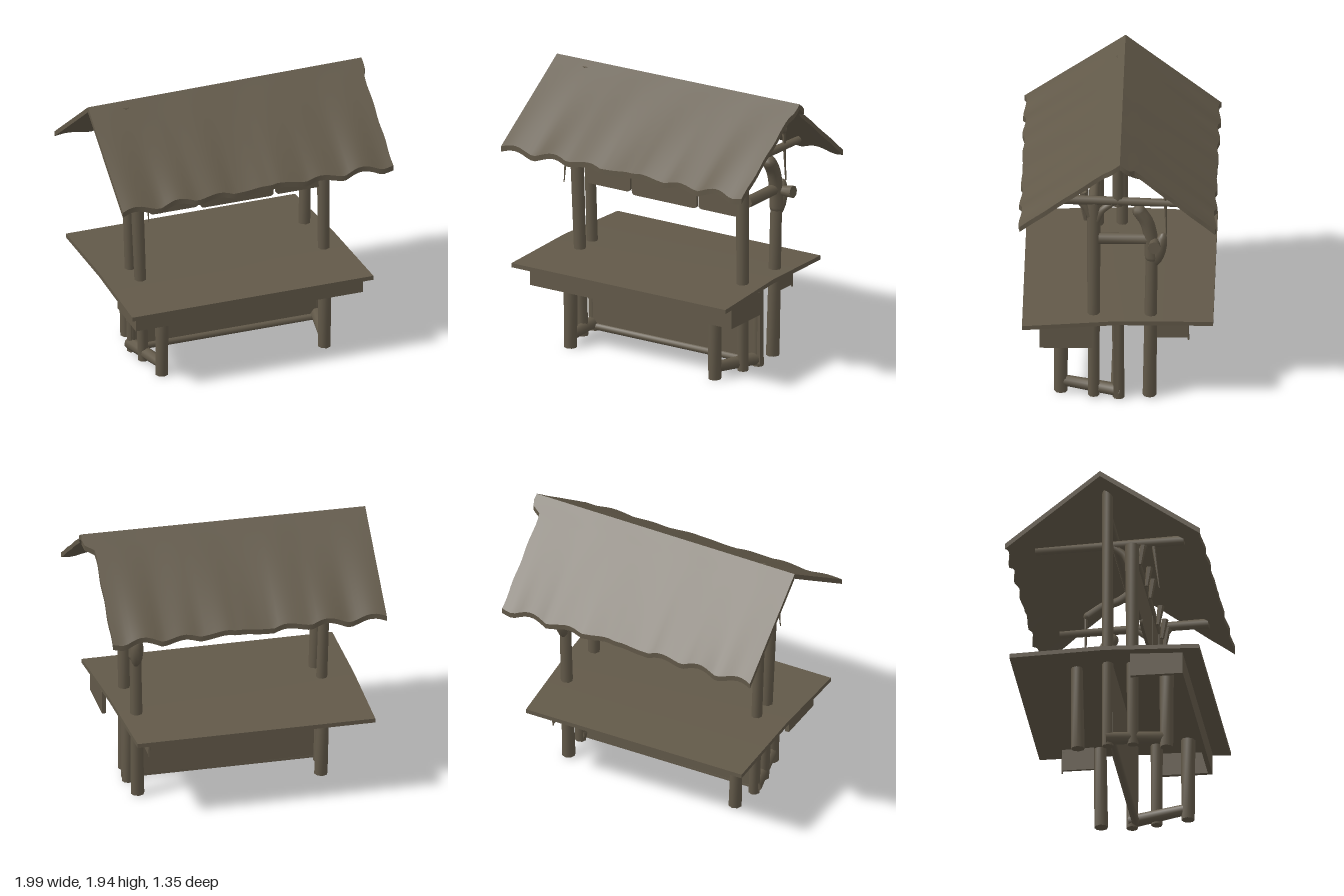
import * as THREE from 'three';
import { toCreasedNormals } from 'three/addons/utils/BufferGeometryUtils.js';

export function createModel() {
  const group = new THREE.Group();
  const wood = new THREE.MeshStandardMaterial({ color: 0x625949 });
  wood.name = 'weathered wood';
  const V = (x, y, z) => new THREE.Vector3(x, y, z);

  const add = (name, geometry) => {
    const mesh = new THREE.Mesh(geometry, wood);
    mesh.name = name;
    group.add(mesh);
    return mesh;
  };
  const box = (name, x0, x1, y0, y1, z0, z1) => {
    const mesh = add(name, new THREE.BoxGeometry(x1 - x0, y1 - y0, z1 - z0));
    mesh.position.set((x0 + x1) / 2, (y0 + y1) / 2, (z0 + z1) / 2);
  };
  // Straight log between two points, with its own end radii
  const log = (name, a, b, r0, r1 = r0, sides = 8) => {
    const dir = b.clone().sub(a);
    const mesh = add(name, toCreasedNormals(
      new THREE.CylinderGeometry(r1, r0, dir.length(), sides), 0.9));
    mesh.position.copy(a).add(b).multiplyScalar(0.5);
    mesh.quaternion.setFromUnitVectors(V(0, 1, 0), dir.normalize());
  };
  // Bent limb through points, closed by a ball at each end
  const limb = (name, points, r) => {
    add(name, new THREE.TubeGeometry(new THREE.CatmullRomCurve3(points), 16, r, 8));
    for (const p of [points[0], points[points.length - 1]]) {
      add(name + 'End', new THREE.SphereGeometry(r, 8, 6)).position.copy(p);
    }
  };

  // Roof slopes: a slab from ridge to a scalloped eave, notched beside the ridge
  const slope = (name, eaveY, eaveZ, rightEdge) => {
    const g = new THREE.BoxGeometry(1, 1, 1, 56, 1, 20);
    const p = g.attributes.position;
    const s = Math.sign(eaveZ);
    for (let i = 0; i < p.count; i++) {
      const u = p.getX(i) + 0.5;
      const v = s * p.getZ(i) + 0.5;
      const top = p.getY(i) + 0.5;
      const right = rightEdge + (0.99 - rightEdge) * (1 - THREE.MathUtils.smoothstep(v, 0.08, 0.16));
      const x = -0.995 + u * (right + 0.995) + (u > 0.98 ? Math.sin(v * 19) * 0.003 : 0);
      const scallop = (Math.abs(Math.sin(u * 23)) + 0.5 * Math.sin(u * 37)) * 0.012 * v * v;
      const ripple = Math.sin(u * 21 + v * 2) * 0.005 * v;
      const ridgeY = 1.94 + 0.018 * u;
      const y = ridgeY + (eaveY - ridgeY) * v + scallop * 1.4 + ripple - (1 - top) * 0.038;
      p.setXYZ(i, x, y, -0.02 + (eaveZ + 0.02) * v - s * scallop);
    }
    add(name, toCreasedNormals(g, 0.7));
  };
  slope('frontRoof', 1.465, 0.668, 0.97);
  slope('backRoof', 1.425, -0.672, 0.915);

  // Table top: thin crowned board, cut in at its rear left corner
  const top = new THREE.BoxGeometry(1.75, 0.03, 1.3, 2, 1, 4);
  const tp = top.attributes.position;
  for (let i = 0; i < tp.count; i++) {
    const z = tp.getZ(i);
    if (tp.getX(i) > 0.8) tp.setX(i, 0.875 - 0.09 * (0.65 - z) / 1.3);
    tp.setY(i, tp.getY(i) - 0.022 * Math.abs(z) / 0.65);
  }
  add('tableTop', toCreasedNormals(top, 0.6)).position.set(-0.045, 0.645, 0);

  // Boards under the table
  box('frontApron', -0.85, 0.8, 0.46, 0.625, 0.5, 0.53);
  box('leftApron', 0.77, 0.8, 0.46, 0.625, 0.17, 0.5);
  box('rightApron', -0.85, -0.82, 0.46, 0.625, 0.17, 0.5);
  box('rearBracket', 0.61, 0.63, 0.46, 0.62, -0.48, -0.26);
  log('bracketPeg', V(0.62, 0.6, -0.47), V(0.62, 0.44, -0.48), 0.012, 0.006, 6);
  box('counterPanel', -0.7, 0.7, 0.04, 0.63, 0, 0.03);
  log('panelSill', V(-0.66, 0.055, 0.025), V(0.66, 0.055, 0.025), 0.026);

  // Right side uprights: the ridge post runs full height, the rear leg stops at the table
  log('frontPost', V(-0.66, 0.03, 0.165), V(-0.715, 1.5, 0.165), 0.038, 0.048);
  log('ridgePost', V(-0.675, 0.02, -0.005), V(-0.735, 1.91, 0), 0.04, 0.037);
  log('rearLeg', V(-0.64, 0.03, -0.215), V(-0.66, 0.64, -0.22), 0.047, 0.04);

  // Left side uprights: a branching rear post, and a king post above the tie
  log('frontPost', V(0.65, 0.03, 0.165), V(0.645, 1.5, 0.165), 0.038, 0.048);
  log('middleLeg', V(0.66, 0.02, -0.005), V(0.66, 0.64, 0), 0.04);
  log('kingPost', V(0.65, 1.48, 0), V(0.65, 1.91, 0), 0.037);
  log('rearPost', V(0.64, 0.03, -0.215), V(0.66, 1.14, -0.23), 0.047, 0.04);
  limb('rearFork', [V(0.66, 1.1, -0.23), V(0.66, 1.23, -0.225), V(0.66, 1.36, -0.195),
    V(0.66, 1.44, -0.145)], 0.048);
  log('sideTie', V(0.66, 1.23, 0.13), V(0.66, 1.23, -0.22), 0.04);

  for (const [x, legX] of [[-0.69, -0.61], [0.66, 0.57]]) {
    log('frontLeg', V(legX, 0.02, 0.39), V(legX, 0.63, 0.39), 0.045, 0.05);
    log('footRail', V(legX, 0.1, 0.38), V(x, 0.07, -0.02), 0.038, 0.045);
    log('gableTie', V(x, 1.53, 0.52), V(x, 1.5, -0.5), 0.036, 0.026);
    limb('frontBrace', [V(x, 1.36, 0.15), V(x, 1.44, 0.11), V(x, 1.5, 0.04)], 0.025);
    limb('frontFork', [V(x, 1.38, 0.18), V(x, 1.46, 0.22), V(x, 1.52, 0.27)], 0.022);
  }

  // Long rails under the roof
  log('frontRail', V(-0.7, 1.47, 0.165), V(0.66, 1.47, 0.165), 0.035);
  log('ridgeRail', V(-0.72, 1.74, -0.005), V(0.66, 1.74, -0.005), 0.033);

  // Knotted branch, stub and upper limb on the left side
  const knot = add('branchKnot', new THREE.SphereGeometry(1, 10, 8));
  knot.position.set(0.66, 1.15, -0.28);
  knot.rotation.x = -0.25;
  knot.scale.set(0.045, 0.13, 0.05);
  log('branchStub', V(0.64, 1.21, -0.25), V(0.785, 1.22, -0.25), 0.03, 0.045);
  limb('upperBranch', [V(0.66, 1.77, -0.04), V(0.66, 1.73, -0.1), V(0.66, 1.7, -0.2),
    V(0.66, 1.63, -0.31)], 0.03);

  // Hanging boards behind the front eave
  for (const [x0, x1, y0] of [[-0.62, -0.265, 1.14], [-0.25, 0.28, 1.125], [0.295, 0.62, 1.13]]) {
    const s = new THREE.Shape();
    s.moveTo(x0, 1.46);
    s.lineTo(x0, y0 + 0.03);
    s.quadraticCurveTo(x0, y0, x0 + 0.03, y0);
    s.lineTo(x1 - 0.03, y0);
    s.quadraticCurveTo(x1, y0, x1, y0 + 0.03);
    s.lineTo(x1, 1.46);
    add('hangingBoard', new THREE.ExtrudeGeometry(s, { depth: 0.02, bevelEnabled: false }))
      .position.z = 0.16;
  }

  // Drooping ties along the eave and two long cords
  for (const x of [-0.7, -0.345, -0.15, 0.28, 0.5, 0.64]) {
    log('eaveTie', V(x, 1.5, 0.24), V(x, 1.36, 0.22), 0.024, 0.014, 6);
  }
  log('frontCord', V(-0.69, 1.5, 0.31), V(-0.69, 1.18, 0.35), 0.013, 0.003, 6);
  log('rearCord', V(0.66, 1.62, -0.32), V(0.67, 1.26, -0.33), 0.014, 0.005, 6);

  return group;
}
